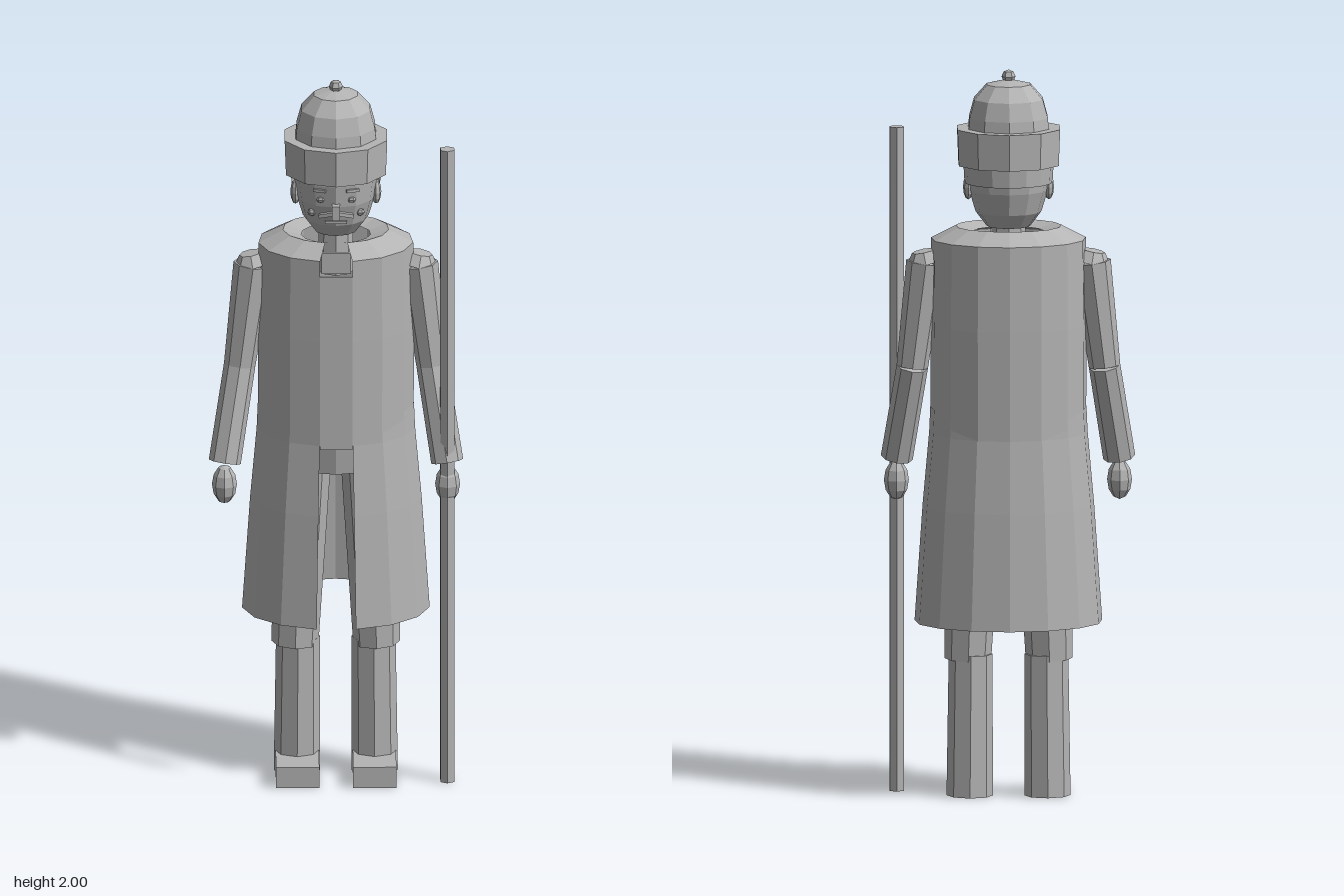
import * as THREE from 'three';

const grey = new THREE.MeshStandardMaterial({ color: 0xb4b4b4, flatShading: true, side: THREE.DoubleSide });
grey.name = 'plain grey';

export function createModel() {
  const model = new THREE.Group();
  model.name = 'coatedFigure';

  const add = (name, geometry, x = 0, y = 0, z = 0) => {
    const mesh = new THREE.Mesh(geometry, grey);
    mesh.name = name;
    mesh.position.set(x, y, z);
    model.add(mesh);
    return mesh;
  };
  const box = (name, w, h, d, x, y, z) => add(name, new THREE.BoxGeometry(w, h, d), x, y, z);
  const ball = (name, rx, ry, rz, x, y, z, sides = 8, rings = 6) => {
    const g = new THREE.SphereGeometry(1, sides, rings);
    g.scale(rx, ry, rz);
    return add(name, g, x, y, z);
  };
  // Turned shape, squashed in depth; gap is the half angle left open at the front
  const turned = (name, profile, sides, depth = 1, gap = 0) => {
    const pts = profile.map(([r, y]) => new THREE.Vector2(r, y));
    const a = THREE.MathUtils.degToRad(gap);
    const g = new THREE.LatheGeometry(pts, sides, a, Math.PI * 2 - 2 * a);
    g.scale(1, 1, depth);
    return add(name, g);
  };
  // Faceted limb piece tapering between two points
  const limb = (name, from, to, r0, r1, sides = 8) => {
    const a = new THREE.Vector3(...from), b = new THREE.Vector3(...to);
    const dir = b.clone().sub(a);
    const mesh = add(name, new THREE.CylinderGeometry(r1, r0, dir.length(), sides));
    mesh.position.copy(a).add(b).multiplyScalar(0.5);
    mesh.quaternion.setFromUnitVectors(new THREE.Vector3(0, 1, 0), dir.normalize());
    return mesh;
  };

  // Coat: upper body and flared skirt, both open at the front
  turned('coatBody', [[0.213, 1.0], [0.214, 1.3], [0.212, 1.535], [0.145, 1.57], [0.095, 1.555]], 14, 0.82, 12);
  turned('coatSkirt', [[0.257, 0.48], [0.235, 0.8], [0.217, 1.0], [0.214, 1.07]], 14, 0.8, 12);
  box('coatFrontPanel', 0.088, 0.5, 0.012, 0, 1.24, 0.167);
  box('collarFront', 0.08, 0.06, 0.012, 0, 1.52, 0.14);
  turned('hips', [[0, 0.905], [0.17, 0.905], [0.185, 1.0], [0, 1.02]], 12, 0.8);

  // Head and neck
  add('neck', new THREE.CylinderGeometry(0.045, 0.05, 0.16, 8), 0, 1.53, 0);
  turned('head', [[0, 1.56], [0.06, 1.57], [0.09, 1.61], [0.108, 1.67], [0.115, 1.73], [0.112, 1.78], [0, 1.8]], 12, 1.04);
  const hair = new THREE.CylinderGeometry(0.124, 0.12, 0.07, 8, 1, true, Math.PI / 2, Math.PI);
  add('hair', hair, 0, 1.725, 0);
  box('nose', 0.022, 0.04, 0.03, 0, 1.66, 0.12);
  box('mouth', 0.06, 0.008, 0.008, 0, 1.622, 0.096);
  for (const s of [1, -1]) {
    ball('ear', 0.014, 0.035, 0.022, s * 0.11, 1.677, 0, 8, 6);
    ball('eye', 0.012, 0.009, 0.008, s * 0.042, 1.69, 0.103, 6, 4);
    box('eyebrow', 0.035, 0.008, 0.01, s * 0.045, 1.718, 0.108).rotation.y = s * 0.35;
    ball('cheek', 0.012, 0.011, 0.01, s * 0.066, 1.645, 0.078, 6, 4);
    const half = box('moustache', 0.045, 0.01, 0.014, s * 0.025, 1.648, 0.108);
    half.rotation.set(0, s * 0.3, -s * 0.25);
  }

  // Hat with turned-up band, dome and top knob
  turned('hatBand', [[0.11, 1.74], [0.143, 1.74], [0.147, 1.84], [0.115, 1.84]], 10);
  turned('hatDome', [[0.116, 1.83], [0.112, 1.87], [0.098, 1.92], [0.062, 1.96], [0, 1.975]], 10);
  ball('hatKnob', 0.019, 0.019, 0.019, 0, 1.981, 0, 6, 4);

  for (const s of [1, -1]) {
    // Arm, bent slightly forward
    const shoulder = [s * 0.226, 1.47, 0.003], elbow = [s * 0.262, 1.18, 0.012], wrist = [s * 0.303, 0.92, 0.072];
    limb('shoulderCap', shoulder, [s * 0.232, 1.5, 0.002], 0.053, 0.032);
    limb('upperArm', elbow, shoulder, 0.043, 0.053);
    limb('forearm', wrist, elbow, 0.044, 0.043);
    ball('hand', 0.034, 0.055, 0.038, s * 0.304, 0.858, 0.078);

    // Leg, boot and foot
    limb('trouserLeg', [s * 0.111, 0.375, 0.006], [s * 0.09, 0.95, 0], 0.064, 0.08);
    limb('boot', [s * 0.106, 0, -0.004], [s * 0.103, 0.39, 0], 0.063, 0.06);
    box('foot', 0.118, 0.06, 0.145, s * 0.105, 0.03, 0.072);
  }

  // Long staff held in the left hand
  add('staff', new THREE.CylinderGeometry(0.022, 0.022, 1.83, 6), 0.303, 0.915, 0.087);

  return model;
}
